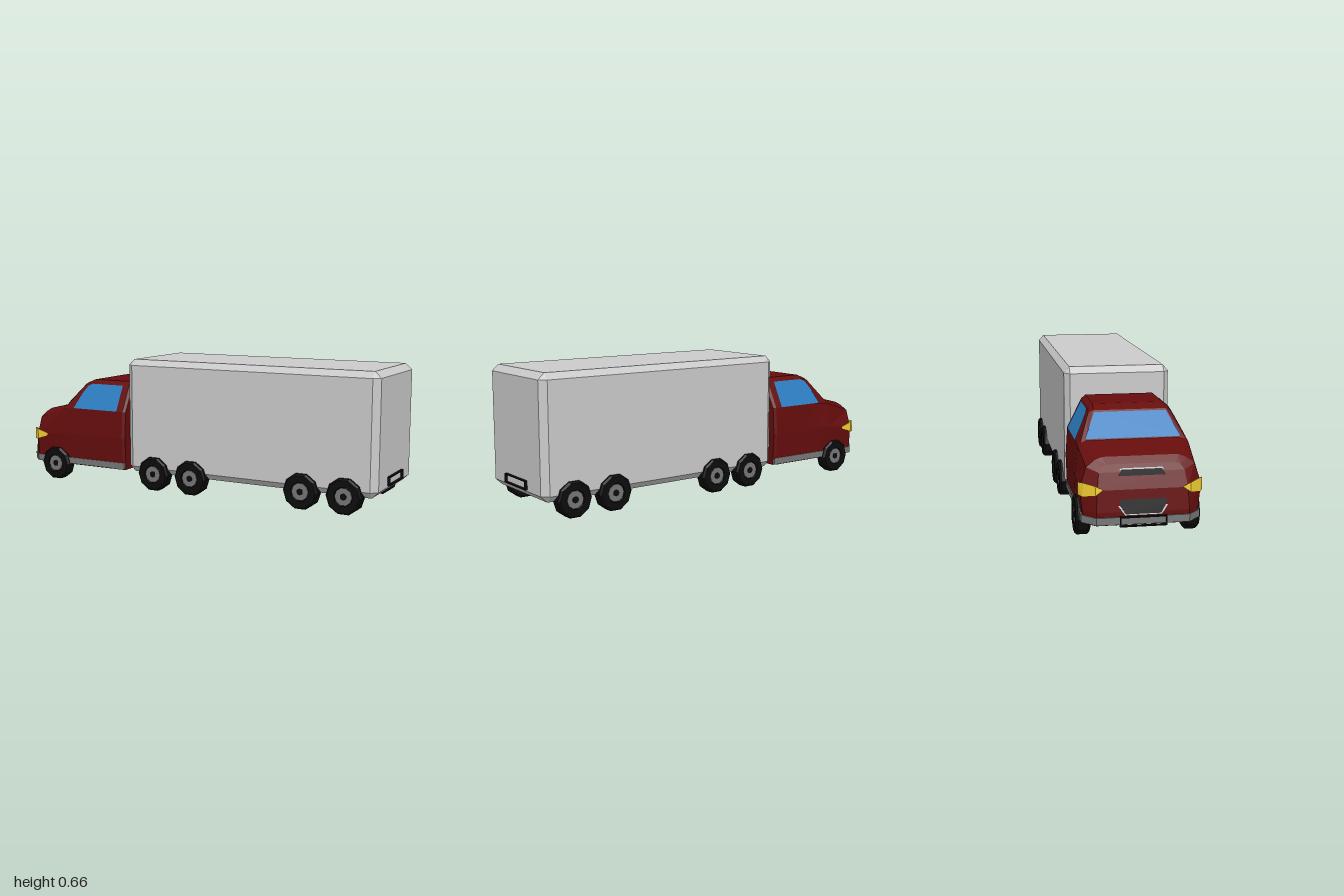
import * as THREE from 'three';
import { ConvexGeometry } from 'three/addons/geometries/ConvexGeometry.js';

const mat = (color, side = THREE.FrontSide) =>
  new THREE.MeshStandardMaterial({ color, side, flatShading: true });
const V = p => new THREE.Vector3(...p);

export function createModel() {
  const model = new THREE.Group();
  const red = mat(0x660d0d), black = mat(0x0c0c0c), grey = mat(0xcccccc);
  const darkGrey = mat(0x777777), yellow = mat(0xf0cc30);
  const glass = mat(0x2b7cc0, THREE.DoubleSide);

  const add = (name, geometry, material, parent = model) => {
    const mesh = new THREE.Mesh(geometry, material);
    mesh.name = name;
    parent.add(mesh);
    return mesh;
  };

  const fromTriangles = points => {
    const g = new THREE.BufferGeometry().setFromPoints(points.map(V));
    g.computeVertexNormals();
    return g;
  };

  // Convex flat panel
  const panel = pts => {
    const tris = [];
    for (let i = 1; i < pts.length - 1; i++) tris.push(pts[0], pts[i], pts[i + 1]);
    return fromTriangles(tris);
  };

  const extrude = (pts, depth, hole) => {
    const shape = new THREE.Shape(pts.map(p => new THREE.Vector2(...p)));
    if (hole) shape.holes.push(new THREE.Path(hole.map(p => new THREE.Vector2(...p))));
    return new THREE.ExtrudeGeometry(shape, { depth, bevelEnabled: false });
  };

  // Skin over mirrored half rings, listed from the back to the front
  const loft = halves => {
    const rings = halves.map(h => [...h, ...[...h].reverse().map(([x, y, z]) => [x, y, -z])]);
    const tris = [], n = rings[0].length;
    const quad = (a, b, c, d) => tris.push(a, b, d, b, c, d);
    for (let i = 0; i < rings.length - 1; i++)
      for (let j = 0; j < n; j++) {
        const k = (j + 1) % n;
        quad(rings[i][j], rings[i][k], rings[i + 1][k], rings[i + 1][j]);
      }
    const back = rings[0], front = rings[rings.length - 1];
    for (let j = 0; j < n / 2 - 1; j++) {
      quad(front[j], front[j + 1], front[n - 2 - j], front[n - 1 - j]);
      quad(back[n - 1 - j], back[n - 2 - j], back[j + 1], back[j]);
    }
    return fromTriangles(tris);
  };

  // Cargo box with chamfered edges
  const half = [0.67, 0.29, 0.253], cut = [0.032, 0.03, 0.026], corners = [];
  for (const sx of [-1, 1]) for (const sy of [-1, 1]) for (const sz of [-1, 1])
    for (let a = 0; a < 3; a++) {
      const p = half.map((h, i) => (i === a ? h : h - cut[i]));
      corners.push(new THREE.Vector3(sx * p[0], sy * p[1], sz * p[2]));
    }
  add('cargoBox', new ConvexGeometry(corners), grey).position.set(0.317, 0.371, -0.002);

  // Coupling between cab and cargo box
  add('coupling', new THREE.BoxGeometry(0.06, 0.1, 0.35), grey).position.set(-0.365, 0.16, 0);

  // Cab body: each ring runs sill, lower side, bulge, shoulder, roof rail, roof
  const cabRing = x => [[x, 0.084, 0.25], [x, 0.14, 0.253], [x, 0.25, 0.257],
    [x, 0.385, 0.248], [x, 0.52, 0.18], [x, 0.536, 0.16]];
  add('cabBody', loft([
    cabRing(-0.37).map(([x, y, z]) => [x, y > 0.5 ? y - 0.008 : y, z - 0.008]),
    cabRing(-0.385),
    cabRing(-0.61),
    [[-0.66, 0.084, 0.25], [-0.66, 0.14, 0.253], [-0.66, 0.25, 0.259],
      [-0.66, 0.385, 0.248], [-0.66, 0.505, 0.187], [-0.66, 0.515, 0.165]],
    [[-0.76, 0.084, 0.25], [-0.76, 0.14, 0.254], [-0.76, 0.25, 0.263],
      [-0.755, 0.38, 0.248], [-0.752, 0.392, 0.235], [-0.75, 0.4, 0.21]],
    [[-0.93, 0.084, 0.25], [-0.93, 0.14, 0.253], [-0.925, 0.235, 0.264],
      [-0.92, 0.325, 0.235], [-0.91, 0.35, 0.2], [-0.905, 0.363, 0.165]],
    [[-0.985, 0.084, 0.2], [-0.985, 0.14, 0.2], [-0.975, 0.235, 0.195],
      [-0.948, 0.305, 0.185], [-0.935, 0.327, 0.17], [-0.93, 0.335, 0.15]],
  ]), red);

  // Windscreen
  add('windscreen', panel([[-0.752, 0.406, 0.215], [-0.752, 0.406, -0.215],
    [-0.67, 0.509, -0.162], [-0.67, 0.509, 0.162]]), glass);

  // Side windows on the sloping cab sides, and headlights around the corners
  const windowOutline = [[-0.42, 0.387], [-0.42, 0.515], [-0.61, 0.515], [-0.635, 0.503],
    [-0.66, 0.465], [-0.692, 0.387]];
  const lamp = [[-0.985, 0.24, 0.17], [-0.988, 0.215, 0.205], [-0.985, 0.258, 0.205],
    [-0.95, 0.205, 0.255], [-0.95, 0.265, 0.25], [-0.92, 0.207, 0.27], [-0.92, 0.262, 0.27],
    [-0.86, 0.23, 0.266], [-0.86, 0.24, 0.266], [-0.9, 0.235, 0.24]];
  for (const [side, s] of [['left', 1], ['right', -1]]) {
    add(side + 'Window', panel(windowOutline.map(([x, y]) =>
      [x, y, s * (0.253 - (y - 0.385) * 0.504)])), glass);
    add(side + 'Headlight', new ConvexGeometry(lamp.map(([x, y, z]) => V([x, y, s * z]))), yellow);
  }

  // Bumper strip wrapped around the bottom of the cab
  const strip = add('bumper', extrude([[-0.372, -0.256], [-0.372, 0.256], [-0.93, 0.259],
    [-0.992, 0.2], [-0.992, -0.2], [-0.93, -0.259]], 0.033), darkGrey);
  strip.rotation.x = -Math.PI / 2;
  strip.position.y = 0.087;

  // Sloping grille with a bright surround
  const grille = new THREE.Group();
  grille.name = 'grille';
  const grilleOutline = (w, lo, hi) => [[-w * 0.75, lo], [w * 0.75, lo], [w, lo + 0.04],
    [w, hi - 0.02], [w * 0.85, hi], [-w * 0.85, hi], [-w, hi - 0.02], [-w, lo + 0.04]];
  add('grilleSurround', extrude(grilleOutline(0.106, 0, 0.2), 0.03), grey, grille).position.z = -0.025;
  add('grillePanel', extrude(grilleOutline(0.1, 0.006, 0.194), 0.006), black, grille).position.z = 0.003;
  grille.rotation.set(-0.257, -Math.PI / 2, 0, 'YXZ');
  grille.position.set(-0.988, 0.125, 0);
  model.add(grille);

  // Number plate frames, front and back
  const rect = (w, h) => [[-w, -h], [w, -h], [w, h], [-w, h]];
  for (const [name, x, y, turn] of [['frontPlateFrame', -0.985, 0.1, -1], ['rearPlateFrame', 0.985, 0.14, 1]]) {
    const frame = add(name, extrude(rect(0.102, 0.022), 0.015, rect(0.096, 0.017)), black);
    frame.rotation.y = turn * Math.PI / 2;
    frame.position.set(x, y, 0);
  }

  // Ten-sided wheels with a hub disc and centre cap
  const tyreProfile = [[0, -0.032], [0.08, -0.032], [0.088, -0.022], [0.088, 0.022],
    [0.08, 0.032], [0.046, 0.032], [0.042, 0.024], [0, 0.024]].map(p => new THREE.Vector2(...p));
  const tyre = new THREE.LatheGeometry(tyreProfile, 10, Math.PI / 2);
  const hub = new THREE.CylinderGeometry(0.042, 0.044, 0.01, 10, 1, false, Math.PI / 2);
  const cap = new THREE.CylinderGeometry(0.016, 0.016, 0.01, 10);
  for (const x of [-0.805, -0.19, 0.025, 0.62, 0.835])
    for (const s of [1, -1]) {
      const wheel = new THREE.Group();
      wheel.name = (s > 0 ? 'left' : 'right') + 'Wheel';
      add('tyre', tyre, black, wheel);
      add('hub', hub, darkGrey, wheel).position.y = 0.023;
      add('hubCap', cap, black, wheel).position.y = 0.025;
      wheel.rotation.x = s * Math.PI / 2;
      wheel.position.set(x, 0.084, s * 0.242);
      model.add(wheel);
    }
  return model;
}
